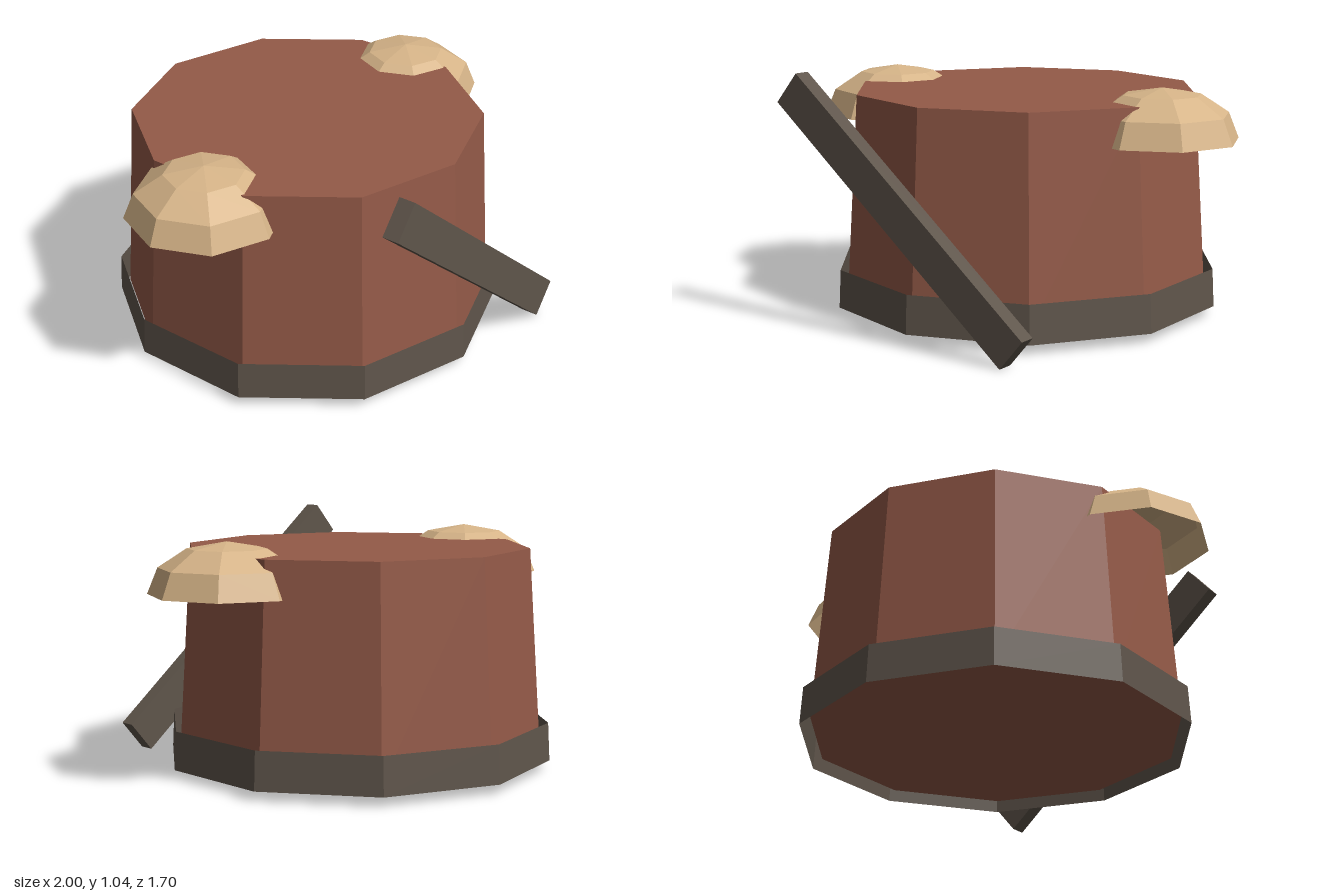
import * as THREE from 'three';

export function createModel() {
  const model = new THREE.Group();
  const material = (name, color, side = THREE.FrontSide) =>
    Object.assign(new THREE.MeshStandardMaterial({ color, flatShading: true, side }), { name });
  const leather = material('reddish leather', 0x945a48);
  const darkStrap = material('dark strap', 0x5f554b, THREE.DoubleSide);
  const tan = material('tan padding', 0xd6b488, THREE.DoubleSide);

  const add = (name, geometry, mat, x, y, z) => {
    const mesh = new THREE.Mesh(geometry, mat);
    mesh.name = name;
    mesh.position.set(x, y, z);
    model.add(mesh);
    return mesh;
  };

  // Ten-sided tapered torso, closed at both ends
  const top = 0.93, bottom = 0.08;
  add('torso', new THREE.CylinderGeometry(0.73, 0.783, top - bottom, 10),
    leather, 0, (top + bottom) / 2, -0.027);

  // Loose open belt around the base
  add('belt', new THREE.CylinderGeometry(0.814, 0.822, 0.16, 10, 1, true),
    darkStrap, 0, 0.12, -0.03);

  // Diagonal strap across the front
  add('chestStrap', new THREE.BoxGeometry(1.43, 0.16, 0.07),
    darkStrap, 0, 0.522, 0.815).rotation.z = -THREE.MathUtils.degToRad(40);

  // Flattened faceted half domes on the shoulders
  for (const [name, side] of [['leftShoulderPad', 1], ['rightShoulderPad', -1]]) {
    const dome = new THREE.SphereGeometry(0.32, 8, 3, 0, Math.PI * 2, 0, Math.PI / 2);
    dome.scale(1, 0.21 / 0.32, 1);
    add(name, dome, tan, side * 0.68, 0.775, -0.005);
  }

  return model;
}
